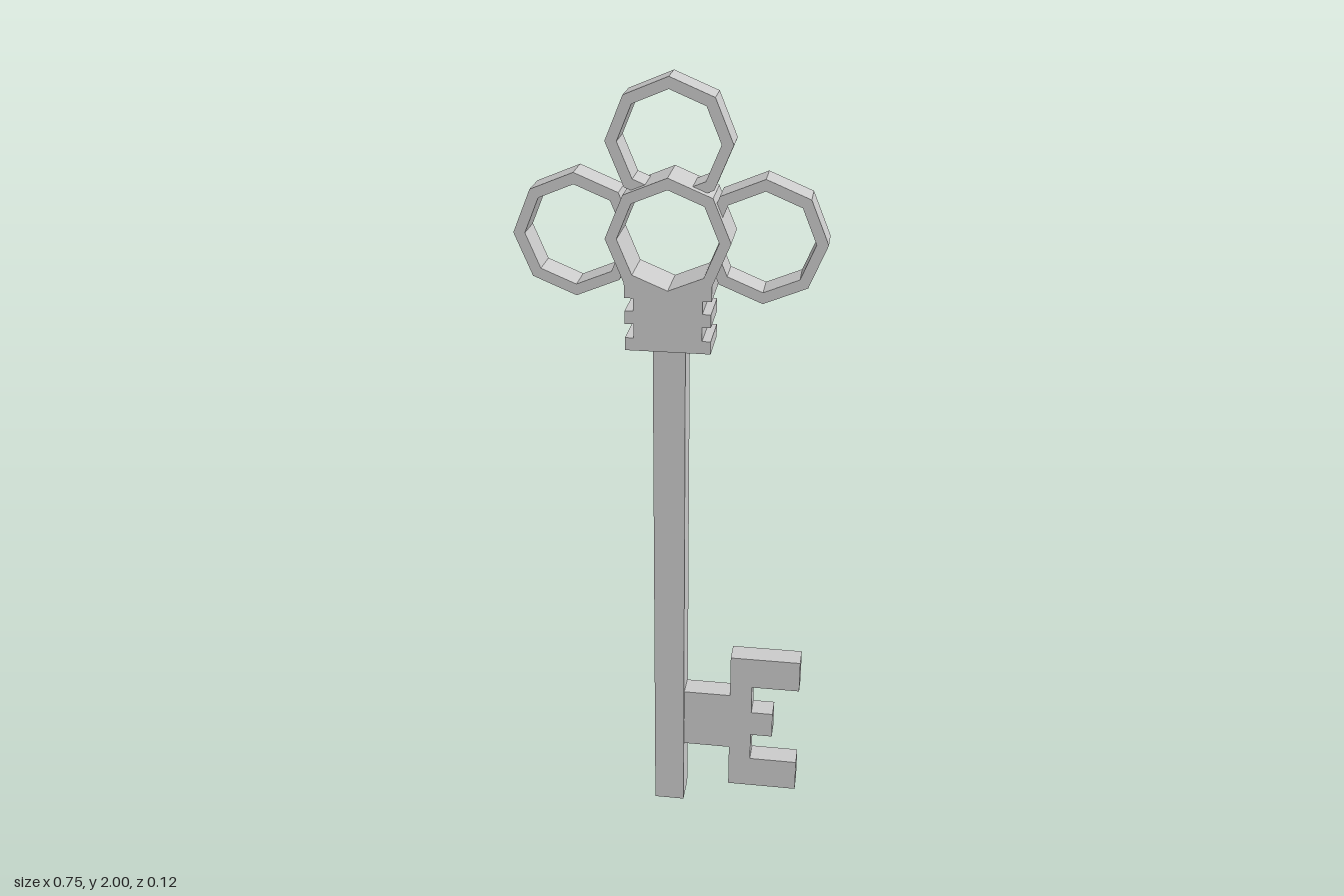
import * as THREE from 'three';

const OUTER = 0.149, INNER = 0.121;   // octagon ring radii
const HUB_Y = 1.628, PETAL_OFFSET = 0.224;

const material = new THREE.MeshStandardMaterial({ color: 0xcccccc, flatShading: true });

// Octagon corner number i at radius r
const corner = (r, i) =>
  new THREE.Vector2(r * Math.cos(i * Math.PI / 4), r * Math.sin(i * Math.PI / 4));
const octagon = (r) => Array.from({ length: 8 }, (_, i) => corner(r, i));

// Flat outline extruded evenly to both sides of z = 0
function plate(name, shape, depth) {
  const geometry = new THREE.ExtrudeGeometry(shape, { depth, bevelEnabled: false });
  geometry.translate(0, 0, -depth / 2);
  const mesh = new THREE.Mesh(geometry, material);
  mesh.name = name;
  return mesh;
}

const points = (list) => list.map(([x, y]) => new THREE.Vector2(x, y));

// Octagonal ring open towards +x, its ends sinking into the hub ring's band
function petalShape() {
  const arc = (r, t) => {
    const start = corner(r, 1).lerp(corner(r, 0), t);
    const end = corner(r, 7).lerp(corner(r, 8), t);
    return [start, ...[1, 2, 3, 4, 5, 6, 7].map((i) => corner(r, i)), end];
  };
  return new THREE.Shape([...arc(OUTER, 0.3), ...arc(INNER, 0.5).reverse()]);
}

export function createModel() {
  const key = new THREE.Group();
  key.name = 'key';

  // Square shaft
  const shaft = new THREE.Mesh(new THREE.BoxGeometry(0.08, 1.353, 0.08), material);
  shaft.name = 'shaft';
  shaft.position.y = 1.353 / 2;
  key.add(shaft);

  // Notched collar whose top follows the underside of the hub ring
  const side = [
    [0.104, 1.353], [0.104, 1.385], [0.083, 1.385], [0.083, 1.42],
    [0.104, 1.42], [0.104, 1.453], [0.083, 1.453], [0.083, 1.485],
    [0.105, 1.485], [0.105, HUB_Y - 0.105],
  ];
  const mirrored = side.map(([x, y]) => [-x, y]).reverse();
  key.add(plate('collar',
    new THREE.Shape(points([...side, [0, HUB_Y - OUTER], ...mirrored])), 0.125));

  // Thick middle ring of the bow
  const hubShape = new THREE.Shape(octagon(OUTER));
  hubShape.holes.push(new THREE.Path(octagon(INNER)));
  const hub = plate('hubRing', hubShape, 0.125);
  hub.position.y = HUB_Y;
  key.add(hub);

  // Three thinner rings around it
  [['rightRing', Math.PI], ['topRing', Math.PI / 2], ['leftRing', 0]].forEach(([name, angle]) => {
    const petal = plate(name, petalShape(), 0.083);
    petal.position.set(PETAL_OFFSET * Math.cos(angle), HUB_Y + PETAL_OFFSET * Math.sin(angle), 0);
    petal.rotation.z = angle + Math.PI;
    key.add(petal);
  });

  // Toothed bit near the foot of the shaft
  key.add(plate('bit', new THREE.Shape(points([
    [0.038, 0.185], [0.165, 0.185], [0.165, 0.062], [0.351, 0.062],
    [0.351, 0.152], [0.224, 0.152], [0.224, 0.232], [0.282, 0.232],
    [0.282, 0.305], [0.224, 0.305], [0.224, 0.387], [0.351, 0.387],
    [0.351, 0.476], [0.165, 0.476], [0.165, 0.355], [0.038, 0.355],
  ])), 0.06));

  return key;
}
